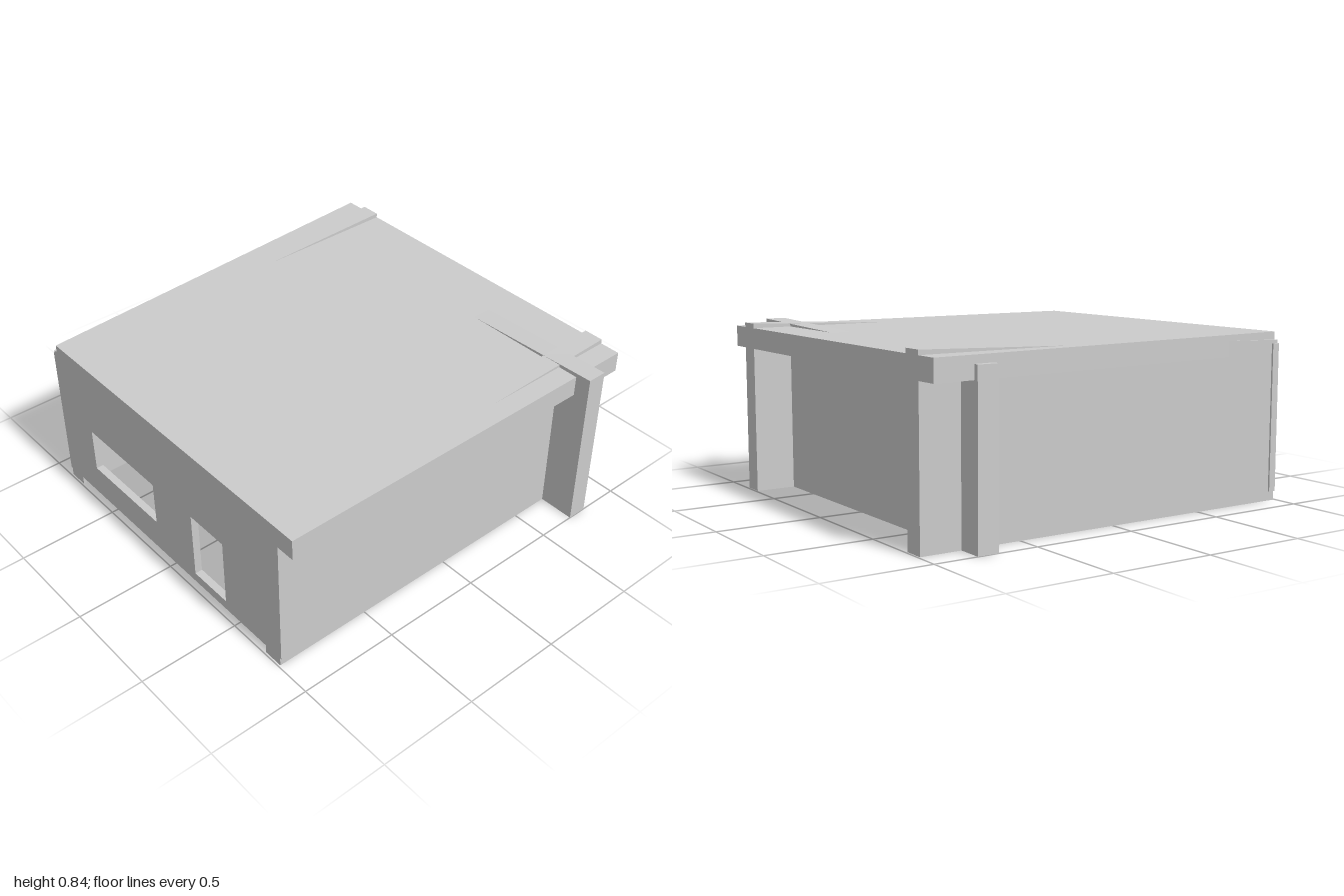
import * as THREE from 'three';

const material = new THREE.MeshStandardMaterial({ color: 0xcccccc, flatShading: true });

// Shape from corner points
function outline(points) {
  return new THREE.Shape(points.map(([x, y]) => new THREE.Vector2(x, y)));
}

function extrude(shape, depth) {
  return new THREE.ExtrudeGeometry(shape, { depth, bevelEnabled: false });
}

// Beam wall lying along x, its top rising gently from the low to the high end
function slopedWall(halfLength, thickness) {
  const shape = outline([[-halfLength, 0], [halfLength, 0], [halfLength, 0.836], [-halfLength, 0.776]]);
  return extrude(shape, thickness).translate(0, 0, -thickness / 2);
}

export function createModel() {
  const model = new THREE.Group();
  const add = (name, geometry) => {
    const mesh = new THREE.Mesh(geometry, material);
    mesh.name = name;
    model.add(mesh);
    return mesh;
  };

  // Front and back walls run the full width
  add('frontWall', slopedWall(0.99, 0.1)).position.z = 0.766;
  add('backWall', slopedWall(0.99, 0.1)).position.z = -0.825;

  // Cross wall passes through both and sticks out at each end, high end at the front
  const cross = add('crossWall', slopedWall(1, 0.1));
  cross.rotation.y = -Math.PI / 2;
  cross.position.x = 0.743;

  // Thin end wall with a wide window and a tall one, raised off the ground
  const end = outline([[-0.884, 0.045], [0.824, 0.045], [0.824, 0.76], [-0.884, 0.76]]);
  for (const [z0, z1, y0, y1] of [[-0.615, -0.1, 0.207, 0.435], [0.197, 0.43, 0.095, 0.445]]) {
    end.holes.push(outline([[z0, y0], [z0, y1], [z1, y1], [z1, y0]]));
  }
  const endWall = add('windowWall', extrude(end, 0.037));
  endWall.rotation.y = -Math.PI / 2;
  endWall.position.x = -0.953;

  // Flat roof slab with a skewed back edge (drawn as x, -z, then laid flat)
  const slab = outline([[-0.99, -0.92], [0.99, -0.92], [0.99, 0.99], [-0.99, 0.853]]);
  const roof = add('roof', extrude(slab, 0.102));
  roof.rotation.x = -Math.PI / 2;
  roof.position.y = 0.712;

  return model;
}
